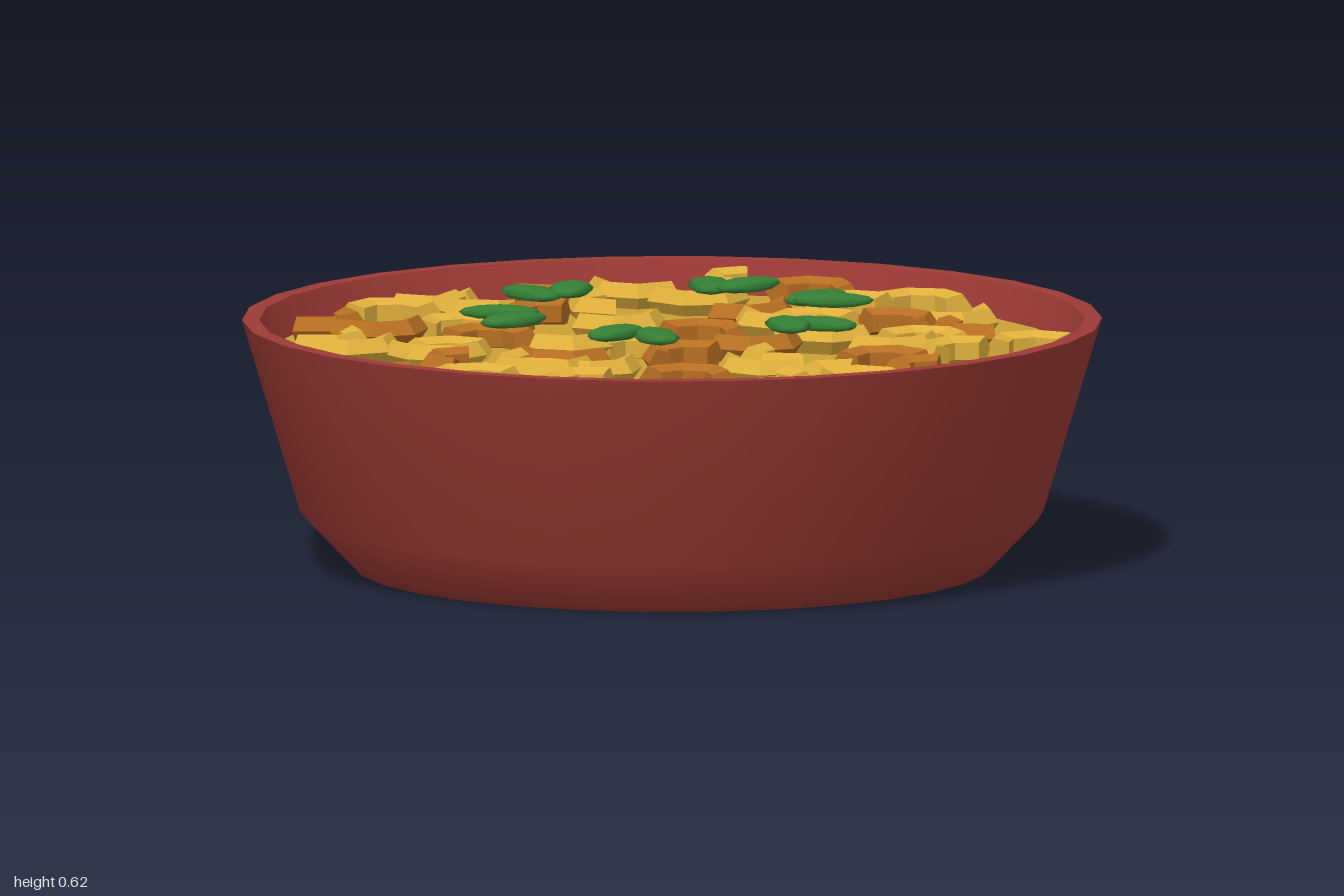
import * as THREE from 'three';
import { mergeGeometries } from 'three/addons/utils/BufferGeometryUtils.js';

const mat = (name, color, flatShading = false) => {
  const m = new THREE.MeshStandardMaterial({ color, flatShading });
  m.name = name;
  return m;
};

// Surface of revolution with a corner on the x axis
function lathe(points, sides = 30) {
  const g = new THREE.LatheGeometry(points.map(([x, y]) => new THREE.Vector2(x, y)), sides);
  return g.rotateY(Math.PI / 2);
}

// Elbow noodle lying flat, its bend facing +x and the outer middle at the origin
function elbowGeometry() {
  const R = 0.09, r = 0.034, arc = 2.8, sides = 5;
  const tube = new THREE.TorusGeometry(R, r, sides, 3, arc);
  const start = new THREE.CircleGeometry(r, sides).rotateX(Math.PI / 2).translate(R, 0, 0);
  const end = new THREE.CircleGeometry(r, sides).rotateX(-Math.PI / 2).translate(R, 0, 0).rotateZ(arc);
  return mergeGeometries([tube, start, end])
    .rotateZ(-arc / 2)
    .rotateX(Math.PI / 2)
    .translate(-R * Math.cos(arc / 6), 0, 0);
}

// Noodles: x, z of the bend, and the direction it faces in degrees from +x towards +z
const PALE = [
  [-0.23, -0.74, 85], [-0.40, -0.70, 290], [-0.27, -0.62, 175], [-0.36, -0.46, 270],
  [0.20, -0.70, 140], [0.45, -0.73, 215], [0.05, -0.60, 195], [0.32, -0.51, 105],
  [0.57, -0.31, 265], [0.81, -0.34, 305], [-0.72, -0.25, 65], [-0.74, -0.11, 90],
  [-0.55, -0.13, 270], [-0.62, 0.01, 120], [-0.24, 0.04, 80], [-0.10, 0.03, 300],
  [0.00, -0.23, 90], [0.28, -0.09, 150], [0.43, -0.18, 280], [0.75, 0.05, 70],
  [0.29, 0.16, 135], [-0.50, 0.20, 180], [-0.68, 0.32, 280], [-0.50, 0.38, 110],
  [-0.50, 0.47, 240], [-0.36, 0.40, 90], [-0.07, 0.56, 150], [0.07, 0.62, 225],
  [-0.05, 0.78, 45], [0.14, 0.80, 320], [0.05, 0.37, 180], [0.43, 0.36, 90],
  [0.47, 0.46, 240], [0.72, 0.37, 270], [0.55, 0.24, 310],
];
const BROWN = [
  [0.05, -0.72, 0], [-0.60, -0.52, 60], [-0.57, -0.34, 95], [-0.34, -0.27, 300],
  [-0.14, -0.52, 235], [0.64, -0.53, 320], [0.38, -0.30, 80], [0.14, -0.07, 320],
  [0.61, 0.02, 340], [0.65, 0.14, 180], [-0.89, 0.18, 150], [-0.68, 0.15, 215],
  [-0.38, 0.17, 130], [-0.11, 0.21, 250], [0.13, 0.24, 90], [-0.18, 0.52, 315],
  [0.27, 0.67, 225], [-0.40, 0.79, 100], [0.33, 0.44, 290],
];
// Herb sprigs: x, z of the centre and the direction the leaves open to
const SPRIGS = [
  [0.40, 0, 0], [0.29, -0.30, -45], [-0.13, -0.39, -78],
  [-0.40, -0.07, 185], [-0.25, 0.33, 122], [0.18, 0.35, 80],
];

export function createModel() {
  const model = new THREE.Group();
  model.name = 'bowlOfNoodles';
  const clay = mat('red clay', 0x9c3a35);
  const broth = mat('golden sauce', 0xcba136);
  const pale = mat('yellow noodle', 0xe0b03c, true);
  const brown = mat('toasted noodle', 0xb86f22, true);
  const green = mat('herb green', 0x357f35);

  const add = (parent, name, geometry, material) => {
    const mesh = new THREE.Mesh(geometry, material);
    mesh.name = name;
    parent.add(mesh);
    return mesh;
  };

  // Bowl: outer shell, flat rim, inner lip and wall
  const bowl = new THREE.Group();
  bowl.name = 'bowl';
  model.add(bowl);
  add(bowl, 'bowlOutside', lathe([[0, 0], [0.74, 0], [0.865, 0.13], [1, 0.58]]), clay);
  add(bowl, 'bowlRim', lathe([[1, 0.58], [0.96, 0.58]]), clay);
  add(bowl, 'bowlInside', lathe([[0.96, 0.58], [0.925, 0.48]]), clay);

  // Sauce surface, meeting the inner wall
  add(model, 'sauce', lathe([[0.932, 0.5], [0, 0.5]]), broth);

  // Noodles
  const elbow = elbowGeometry();
  for (const [name, list, material] of [['yellowNoodle', PALE, pale], ['toastedNoodle', BROWN, brown]]) {
    const group = new THREE.Group();
    group.name = name + 's';
    model.add(group);
    list.forEach(([x, z, deg], i) => {
      const noodle = add(group, name, elbow, material);
      // the tube centre line carries the given position
      noodle.position.set(x, 0.522 + (i % 3) * 0.006, z);
      noodle.rotation.y = -THREE.MathUtils.degToRad(deg);
    });
  }

  // Herb sprigs: two flattened leaves spreading from a shared base
  const leaf = new THREE.SphereGeometry(1, 8, 6)
    .rotateZ(Math.PI / 2)
    .scale(0.095, 0.018, 0.053)
    .translate(0.085, 0, 0);
  for (const [x, z, deg] of SPRIGS) {
    const sprig = new THREE.Group();
    sprig.name = 'herbSprig';
    sprig.position.set(x, 0.602, z);
    sprig.rotation.y = -THREE.MathUtils.degToRad(deg);
    for (const side of [-1, 1]) {
      const mesh = add(sprig, 'leaf', leaf, green);
      mesh.position.set(-0.085, side * 0.003, side * 0.012);
      mesh.rotation.y = -side * 0.42;
    }
    model.add(sprig);
  }
  return model;
}
